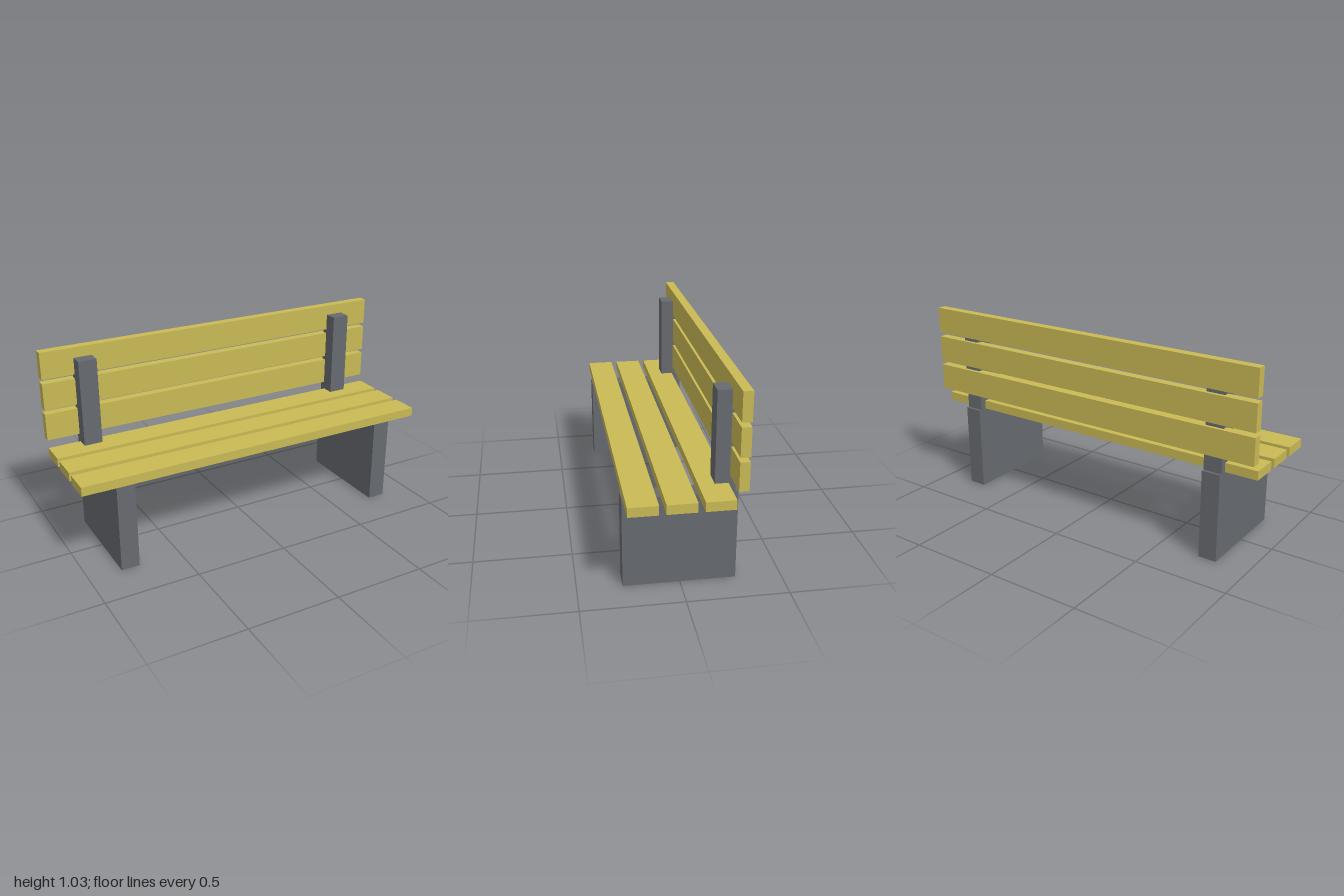
import * as THREE from 'three';

export function createModel() {
  const bench = new THREE.Group();
  bench.name = 'bench';

  const wood = new THREE.MeshStandardMaterial({ color: 0xc9b955 });
  wood.name = 'yellow wood';
  const metal = new THREE.MeshStandardMaterial({ color: 0x66696e });
  metal.name = 'dark grey';

  // Box given by its size and centre
  function box(name, material, [w, h, d], [x, y, z]) {
    const mesh = new THREE.Mesh(new THREE.BoxGeometry(w, h, d), material);
    mesh.name = name;
    mesh.position.set(x, y, z);
    bench.add(mesh);
  }

  // Slab legs, each carrying an upright post for the backrest
  for (const [side, sign] of [['left', 1], ['right', -1]]) {
    const x = sign * 0.777;
    box(side + 'Leg', metal, [0.098, 0.468, 0.554], [x, 0.234, 0.002]);
    box(side + 'Post', metal, [0.098, 0.512, 0.1], [x, 0.724, -0.209]);
  }

  // Three seat slats and three backrest slats
  for (let i = 0; i < 3; i++) {
    box('seatSlat' + (i + 1), wood, [2, 0.048, 0.144], [0, 0.492, 0.202 - i * 0.1775]);
    box('backSlat' + (i + 1), wood, [2, 0.144, 0.048], [0, 0.629 + i * 0.167, -0.254]);
  }

  return bench;
}
